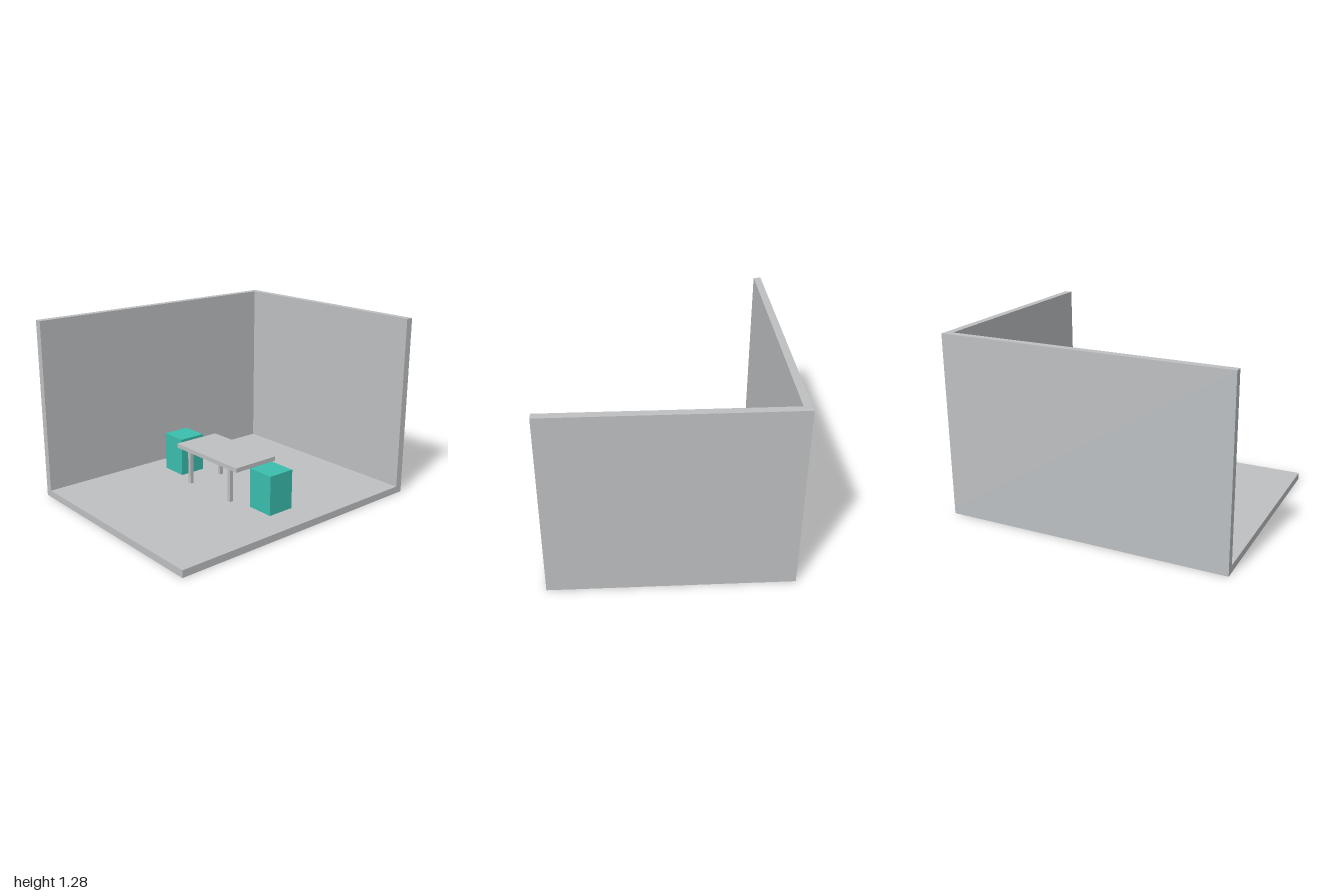
import * as THREE from 'three';

export function createModel() {
  const room = new THREE.Group();
  room.name = 'diningRoom';

  const grey = new THREE.MeshStandardMaterial({ color: 0xbdc0c2 });
  grey.name = 'pale grey';
  const teal = new THREE.MeshStandardMaterial({ color: 0x3abdad });
  teal.name = 'teal';

  // Box given by its extents along each axis
  function box(name, material, [x0, x1], [y0, y1], [z0, z1], parent = room) {
    const mesh = new THREE.Mesh(new THREE.BoxGeometry(x1 - x0, y1 - y0, z1 - z0), material);
    mesh.position.set((x0 + x1) / 2, (y0 + y1) / 2, (z0 + z1) / 2);
    mesh.name = name;
    parent.add(mesh);
  }

  const floorTop = 0.05, wallTop = 1.28, wall = 0.053;

  // Floor slab with two walls meeting in the back corner
  box('floor', grey, [-0.8, 0.8], [0, floorTop], [-1, 1]);
  box('sideWall', grey, [-0.8, -0.8 + wall], [floorTop, wallTop], [-1, 1]);
  box('backWall', grey, [-0.8 + wall, 0.8], [floorTop, wallTop], [-1, -1 + wall]);

  // Table: thin top on four slim legs
  const table = new THREE.Group();
  table.name = 'table';
  room.add(table);
  box('tableTop', grey, [-0.328, 0.328], [0.302, 0.333], [-0.179, 0.179], table);
  const half = 0.0135;
  for (const x of [-0.22, 0.22]) {
    for (const z of [-0.14, 0.14]) {
      box('tableLeg', grey, [x - half, x + half], [floorTop, 0.302], [z - half, z + half], table);
    }
  }

  // A block stool at each end of the table
  for (const x of [-0.48, 0.48]) {
    box(x < 0 ? 'rightStool' : 'leftStool', teal, [x - 0.1, x + 0.1], [floorTop, 0.33], [-0.1, 0.1]);
  }

  return room;
}
